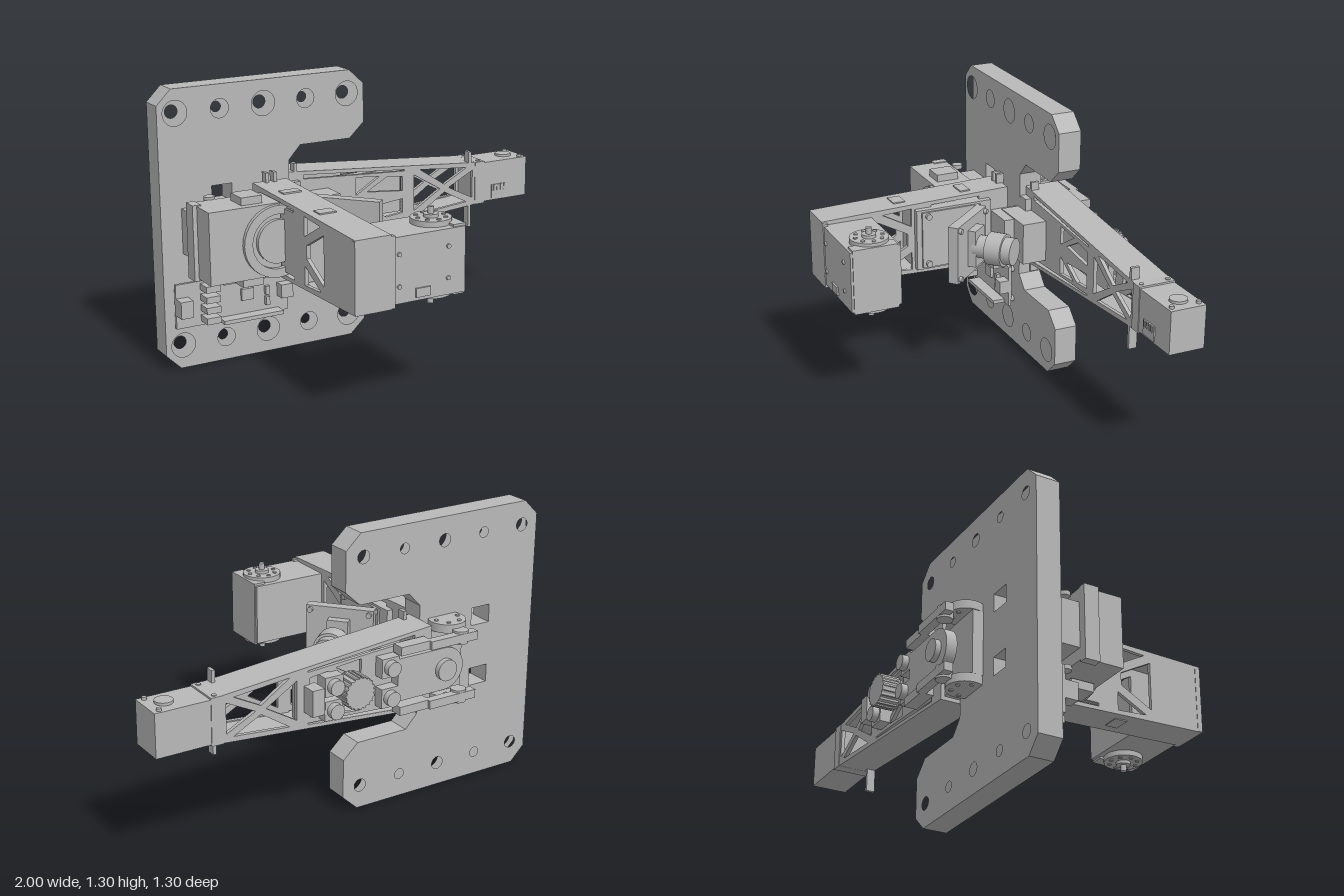
import * as THREE from 'three';

export function createModel() {
  const root = new THREE.Group();
  const grey = new THREE.MeshStandardMaterial({ color: 0xb8b8b8 });
  grey.name = 'grey plastic';
  const CY = 0.65; // height of the mechanism's centre line

  const add = (name, geo, parent = root) => {
    const m = new THREE.Mesh(geo, grey);
    m.name = name;
    parent.add(m);
    return m;
  };
  // Box given by its limits on each axis
  const box = (name, x0, x1, y0, y1, z0, z1, parent) => {
    const m = add(name, new THREE.BoxGeometry(x1 - x0, y1 - y0, z1 - z0), parent);
    m.position.set((x0 + x1) / 2, (y0 + y1) / 2, (z0 + z1) / 2);
    return m;
  };
  // Cylinder along an axis
  const cyl = (name, axis, r, len, x, y, z, parent, sides = 24) => {
    const m = add(name, new THREE.CylinderGeometry(r, r, len, sides), parent);
    if (axis === 'x') m.rotation.z = Math.PI / 2;
    if (axis === 'z') m.rotation.x = Math.PI / 2;
    m.position.set(x, y, z);
    return m;
  };
  const poly = (pts, C = THREE.Shape) => new C(pts.map(p => new THREE.Vector2(...p)));
  const circle = (x, y, r) => new THREE.Path().absarc(x, y, r, 0, Math.PI * 2, true);
  const slab = (name, shape, z0, z1, parent) => {
    const g = new THREE.ExtrudeGeometry(shape, { depth: z1 - z0, bevelEnabled: false, curveSegments: 16 });
    const m = add(name, g, parent);
    m.position.z = z0;
    return m;
  };
  const mirrorY = pts => pts.map(([x, y]) => [x, 2 * CY - y]).reverse();

  // Mounting plate: C outline in two layers so the bolt holes are counterbored
  const half = [[-1, 1.23], [-0.93, 1.3], [-0.04, 1.3], [0.035, 1.23], [0.035, 1.045],
    [-0.04, 0.975], [-0.3, 0.975], [-0.36, 0.91]];
  const plate = (name, big, small, z0, z1) => {
    const s = poly([...half, ...mirrorY(half)]);
    for (const y of [0.11, 1.19])
      [-0.915, -0.7, -0.485, -0.27, -0.055].forEach((x, i) => s.holes.push(circle(x, y, i % 2 ? small : big)));
    for (const [a, b] of [[0.755, 0.84], [0.46, 0.545]])
      s.holes.push(poly([[-0.75, a], [-0.65, a], [-0.65, b], [-0.75, b]], THREE.Path));
    slab(name, s, z0, z1);
  };
  plate('mountingPlateBack', 0.03, 0.024, -0.46, -0.39);
  plate('mountingPlateFront', 0.058, 0.044, -0.39, -0.348);

  // Link arm: two truss webs joined by sloping flanges, along local x
  const arm = (name, s0, s1, h0, h1, d0, d1, holes) => {
    const g = new THREE.Group();
    g.name = name;
    root.add(g);
    const t = 0.018;
    const web = () => {
      const s = poly([[s0, CY - h0], [s1, CY - h1], [s1, CY + h1], [s0, CY + h0]]);
      holes.forEach(h => s.holes.push(poly(h, THREE.Path)));
      return s;
    };
    slab('trussWeb', web(), d0, d0 + t, g);
    slab('trussWeb', web(), d1 - t, d1, g);
    for (const k of [1, -1]) {
      const f = poly([[s0, CY + k * h0], [s1, CY + k * h1], [s1, CY + k * (h1 - t)], [s0, CY + k * (h0 - t)]]);
      slab('flange', f, d0 + 0.001, d1 - 0.001, g);
    }
    return g;
  };
  const both = hs => hs.flatMap(h => [h, mirrorY(h)]);

  // Forearm running to +x
  const fore = arm('forearm', -0.36, 0.72, 0.195, 0.105, -0.55, -0.38, [
    ...both([
      [[-0.27, 0.822], [0.28, 0.775], [0.28, 0.767], [-0.27, 0.8]],
      [[0.01, 0.77], [0.14, 0.758], [0.01, 0.68]],
      [[0.18, 0.75], [0.27, 0.74], [0.27, 0.67], [0.07, 0.69]],
      [[0.37, 0.762], [0.64, 0.738], [0.51, 0.67]],
    ]),
    [[0.335, 0.74], [0.485, 0.65], [0.335, 0.56]],
    [[0.675, 0.72], [0.535, 0.65], [0.675, 0.58]],
  ]);
  box('electronicsPanel', -0.25, 0.31, 0.54, 0.76, -0.5, -0.47, fore);
  for (const [x, y0, y1] of [[0.66, 0.75, 0.815], [0.66, 0.43, 0.55], [-0.31, 0.8, 0.88], [-0.31, 0.42, 0.5]])
    box('cableClip', x - 0.008, x + 0.008, y0, y1, -0.42, -0.38, fore);

  // Wrist motor at the end of the forearm
  box('wristMotor', 0.73, 1, 0.55, 0.75, -0.55, -0.38);
  box('wristCollar', 0.69, 0.745, 0.542, 0.758, -0.553, -0.377);
  cyl('wristHorn', 'y', 0.04, 0.02, 0.915, 0.752, -0.465);
  for (const x of [0.72, 0.97]) for (const z of [-0.53, -0.4]) cyl('screw', 'y', 0.011, 0.02, x, 0.752, z, root, 10);
  box('wristSocket', 0.79, 0.88, 0.56, 0.63, -0.39, -0.374);
  for (let i = 0; i < 4; i++) box('socketPin', 0.8 + i * 0.02, 0.81 + i * 0.02, 0.6, 0.63, -0.38, -0.37);

  // Controls on the rear of the forearm
  const rear = new THREE.Group();
  rear.name = 'rearControls';
  root.add(rear);
  for (const [x, y] of [[-0.11, 0.72], [0.18, 0.7], [-0.11, 0.58], [0.18, 0.59]]) {
    box('buttonBase', x - 0.045, x + 0.045, y - 0.045, y + 0.045, -0.6, -0.54, rear);
    cyl('button', 'z', 0.035, 0.04, x, y, -0.61, rear);
  }
  cyl('knurledWheel', 'z', 0.07, 0.1, 0.08, 0.66, -0.6, rear, 20);
  for (let i = 0; i < 20; i++) {
    const a = i * Math.PI / 10;
    box('wheelTooth', -0.005, 0.005, -0.005, 0.005, -0.65, -0.56, rear)
      .position.set(0.08 + 0.07 * Math.cos(a), 0.66 + 0.07 * Math.sin(a), -0.605);
  }
  box('sensorBlock', 0.24, 0.3, 0.59, 0.71, -0.62, -0.54, rear);
  const lever = new THREE.Shape();
  lever.moveTo(-0.15, CY - 0.1);
  lever.lineTo(-0.15, CY + 0.1);
  lever.lineTo(-0.4, CY + 0.1);
  lever.absarc(-0.4, CY, 0.1, Math.PI / 2, Math.PI * 1.5, false);
  slab('roundedCover', lever, -0.6, -0.55, rear);
  cyl('coverHub', 'z', 0.05, 0.03, -0.4, CY, -0.61, rear);

  // Elbow joint: motor, upper and lower horns with tie links
  box('elbowMotor', -0.56, -0.3, 0.5, 0.8, -0.51, -0.35);
  for (const k of [1, -1]) {
    const y = CY + k * 0.17;
    cyl('elbowHorn', 'y', 0.085, 0.04, -0.48, y, -0.5);
    for (let i = 0; i < 6; i++) {
      const a = i * Math.PI / 3;
      cyl('hornScrew', 'y', 0.01, 0.05, -0.48 + 0.058 * Math.cos(a), y, -0.5 + 0.058 * Math.sin(a), root, 8);
    }
    cyl('linkPivot', 'y', 0.035, 0.06, -0.48, CY + k * 0.14, -0.6);
    box('linkBar', -0.55, -0.3, CY + k * 0.14 - 0.02, CY + k * 0.14 + 0.02, -0.635, -0.595);
    box('linkFoot', -0.31, -0.15, CY + k * 0.14 - 0.02, CY + k * 0.14 + 0.02, -0.62, -0.56).rotation.z = 0;
  }
  box('elbowBracket', -0.38, -0.14, 0.54, 0.74, -0.38, -0.26);
  box('bracketTongue', -0.4, -0.24, 0.565, 0.735, -0.34, -0.21);

  // Upper arm running to +z
  const upper = arm('upperArm', -0.3, 0.645, 0.19, 0.162, 0.4, 0.57, [
    ...both([
      [[-0.15, 0.815], [0.1, 0.81], [0.1, 0.795], [-0.15, 0.795]],
      [[0.2, 0.805], [0.345, 0.795], [0.2, 0.715]],
    ]),
    [[0.375, 0.765], [0.375, 0.535], [0.22, 0.62], [0.22, 0.68]],
  ]);
  upper.rotation.y = -Math.PI / 2;
  box('armEndPlate', -0.572, -0.38, 0.49, 0.805, 0.62, 0.645);
  box('armMotor', -0.56, -0.37, 0.5, 0.8, -0.2, 0.185);
  box('armMotorCover', -0.375, -0.36, 0.51, 0.79, -0.14, 0.16);
  for (const y of [0.53, 0.77]) for (const z of [-0.12, 0.13]) cyl('screw', 'x', 0.015, 0.02, -0.355, y, z, root, 12);
  for (const k of [1, -1]) {
    for (const x of [-0.51, -0.47]) box('cableClip', x - 0.008, x + 0.008, CY + k * 0.205 - 0.03, CY + k * 0.205 + 0.03, -0.31, -0.27);
    box('armTopWindow', -0.53, -0.44, CY + k * 0.186 - 0.004, CY + k * 0.186 + 0.004, -0.12, -0.07);
    box('armCableSlot', -0.53, -0.45, CY + k * 0.175 - 0.004, CY + k * 0.175 + 0.004, 0.21, 0.27);
  }

  // End motor carried by the upper arm
  box('endMotor', -0.4, -0.035, 0.505, 0.795, 0.4, 0.64);
  box('endMotorCap', -0.09, -0.03, 0.495, 0.805, 0.415, 0.63);
  for (const k of [1, -1]) {
    cyl('endHorn', 'y', 0.09, 0.03, -0.13, CY + k * 0.155, 0.515);
    cyl('endHornHub', 'y', 0.033, 0.04, -0.13, CY + k * 0.165, 0.515);
    cyl('axlePin', 'y', 0.014, 0.06, -0.13, CY + k * 0.185, 0.515, root, 12);
    for (let i = 0; i < 8; i++) {
      const a = i * Math.PI / 4;
      cyl('hornScrew', 'y', 0.01, 0.04, -0.13 + 0.065 * Math.cos(a), CY + k * 0.155, 0.515 + 0.065 * Math.sin(a), root, 8);
    }
  }
  for (const [x, y] of [[-0.36, 0.72], [-0.12, 0.72], [-0.36, 0.58], [-0.12, 0.58]])
    cyl('screw', 'z', 0.01, 0.012, x, y, 0.642, root, 10);
  box('frontSocket', -0.28, -0.21, 0.52, 0.56, 0.63, 0.648);

  // Shoulder motor on the plate
  box('shoulderMotor', -0.92, -0.58, 0.49, 0.82, -0.2, -0.005);
  box('shoulderCradle', -0.9, -0.6, 0.545, 0.755, -0.36, -0.19);
  box('shoulderCap', -0.94, -0.9, 0.48, 0.825, -0.2, -0.13);
  const ring = new THREE.Shape().absarc(-0.6, CY, 0.165, 0, Math.PI * 2, false);
  ring.holes.push(circle(-0.6, CY, 0.125));
  slab('shoulderRing', ring, -0.01, 0.015);
  cyl('shoulderHorn', 'z', 0.1, 0.03, -0.6, CY, 0);
  for (const k of [1, -1]) {
    box('shoulderTab', -0.75, -0.65, CY + k * 0.185 - 0.02, CY + k * 0.185 + 0.02, -0.15, -0.04);
    cyl('shoulderBolt', 'y', 0.025, 0.02, -0.82, CY + k * 0.172, -0.22, root, 16);
  }

  // Camera on an angled board, looking toward +x and -z
  const cam = new THREE.Group();
  cam.name = 'camera';
  cam.position.set(-0.235, CY, -0.02);
  cam.rotation.y = Math.atan2(0.66, 0.75);
  root.add(cam);
  box('cameraBoard', -0.03, 0.02, -0.14, 0.14, -0.16, 0.16, cam);
  box('lensMount', 0.02, 0.06, -0.09, 0.09, -0.05, 0.05, cam);
  cyl('lensBarrel', 'x', 0.055, 0.12, 0.1, 0, 0, cam);
  cyl('lensRing', 'x', 0.078, 0.08, 0.15, 0, 0, cam, 32);
  cyl('lensFront', 'x', 0.065, 0.05, 0.21, 0, 0, cam);
  for (const y of [-0.12, 0.12]) for (const z of [-0.14, 0.14]) cyl('screw', 'x', 0.013, 0.02, 0.025, y, z, cam, 12);

  // Controller board below the shoulder
  const pcb = new THREE.Group();
  pcb.name = 'controllerBoard';
  root.add(pcb);
  box('board', -0.96, -0.4, 0.205, 0.415, -0.325, -0.31, pcb);
  for (const x of [-0.93, -0.43]) for (const y of [0.23, 0.39]) cyl('standoff', 'z', 0.015, 0.04, x, y, -0.335, pcb, 10);
  for (const y of [0.215, 0.405]) box('pinHeader', -0.75, -0.45, y - 0.009, y + 0.009, -0.31, -0.25, pcb);
  box('usbPort', -0.96, -0.9, 0.27, 0.35, -0.31, -0.25, pcb);
  box('powerPort', -0.455, -0.395, 0.28, 0.345, -0.31, -0.26, pcb);
  box('chip', -0.64, -0.58, 0.29, 0.345, -0.31, -0.295, pcb);
  for (let i = 0; i < 4; i++) box('servoPlug', -0.84, -0.77, 0.225 + i * 0.05, 0.255 + i * 0.05, -0.31, -0.24, pcb);
  for (const y of [0.25, 0.3]) box('component', -0.52, -0.5, y, y + 0.04, -0.31, -0.29, pcb);

  return root;
}
